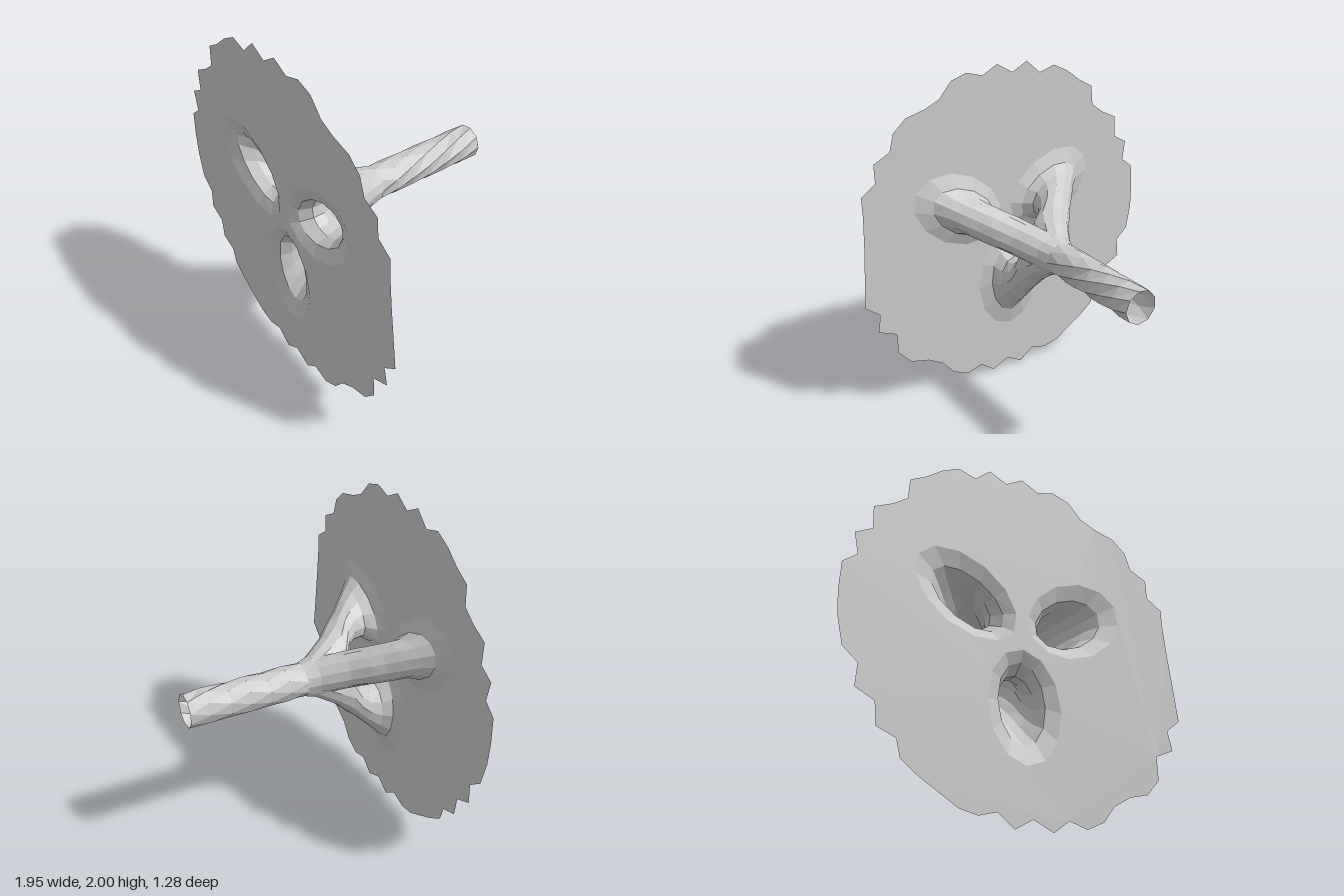
import * as THREE from 'three';

const HUB = new THREE.Vector2(0.015, 1.0);
const FRONT = 0.64;
const SIDES = 12;

// Leg cross-sections: [z, distance from hub, radial half-size, tangential half-size]
const SECTIONS = [
  [0.64, 0.37, 0.31, 0.21], [0.61, 0.345, 0.225, 0.135], [0.55, 0.335, 0.165, 0.11],
  [0.48, 0.295, 0.13, 0.108], [0.42, 0.24, 0.12, 0.107], [0.36, 0.155, 0.155, 0.107],
  [0.27, 0.1, 0.12, 0.105], [0.2, 0.06, 0.11, 0.104], [0.13, 0.02, 0.103, 0.1], [0.06, 0, 0.098, 0.098],
];

// Jagged rim of the sheet, x and y pairs, clockwise from the top
const RIM = [
  0.04, 2, 0.14, 1.95, 0.24, 1.98, 0.34, 1.95, 0.42, 1.86, 0.51, 1.82, 0.63, 1.79, 0.71, 1.72,
  0.74, 1.62, 0.84, 1.57, 0.84, 1.46, 0.93, 1.4, 0.93, 1.29, 0.94, 1.13, 0.955, 0.96, 0.975, 0.73,
  0.89, 0.66, 0.91, 0.55, 0.8, 0.5, 0.8, 0.37, 0.72, 0.28, 0.61, 0.25, 0.51, 0.19, 0.44, 0.1,
  0.34, 0.05, 0.24, 0.08, 0.15, 0.01, 0.04, 0.06, -0.06, 0, -0.15, 0.07, -0.25, 0.04, -0.35, 0.06,
  -0.45, 0.12, -0.55, 0.18, -0.64, 0.25, -0.66, 0.34, -0.76, 0.38, -0.77, 0.5, -0.87, 0.55, -0.86, 0.67,
  -0.94, 0.74, -0.97, 0.89, -0.975, 1.02, -0.965, 1.18, -0.89, 1.24, -0.91, 1.36, -0.82, 1.41, -0.82, 1.54,
  -0.72, 1.59, -0.64, 1.65, -0.63, 1.77, -0.54, 1.82, -0.45, 1.89, -0.35, 1.94, -0.25, 1.91, -0.16, 1.99,
  -0.06, 1.94,
];

// Point of a leg section, kept inside the leg's own third around the hub
function legPoint([z, d, a, b], i, turn) {
  const ang = (i / SIDES) * Math.PI * 2;
  const t = b * Math.sin(ang);
  const limit = Math.abs(t) / Math.sqrt(3);
  const raw = d + a * Math.cos(ang);
  const r = Math.max(raw, limit);
  const c = Math.cos(turn), s = Math.sin(turn);
  return { p: [HUB.x + r * c - t * s, HUB.y + r * s + t * c, z], clamped: raw <= limit + 1e-6 };
}

// Skin rings of points; faces lying wholly on the shared boundary are left open
function skin(rings) {
  const pos = [];
  const face = (...v) => {
    if (!v.every((q) => q.clamped)) v.forEach((q) => pos.push(...q.p));
  };
  for (let k = 0; k < rings.length - 1; k++) {
    const n = rings[k].length;
    for (let i = 0; i < n; i++) {
      const j = (i + 1) % n;
      const a = rings[k][i], b = rings[k][j], c = rings[k + 1][j], d = rings[k + 1][i];
      if (i < n / 2) { face(a, d, b); face(b, d, c); }
      else { face(a, d, c); face(a, c, b); }
    }
  }
  const g = new THREE.BufferGeometry();
  g.setAttribute('position', new THREE.Float32BufferAttribute(pos, 3));
  g.computeVertexNormals();
  return g;
}

export function createModel() {
  const group = new THREE.Group();
  const grey = new THREE.MeshStandardMaterial({ color: 0xcccccc, flatShading: true, side: THREE.DoubleSide });
  grey.name = 'grey';
  const add = (geometry, name) => {
    const mesh = new THREE.Mesh(geometry, grey);
    mesh.name = name;
    group.add(mesh);
  };

  const outline = [];
  for (let i = 0; i < RIM.length; i += 2) outline.push(new THREE.Vector2(RIM[i], RIM[i + 1]));
  const sheet = new THREE.Shape(outline);

  // Three hollow legs, each opening through the sheet
  const turns = { leftLeg: Math.PI / 6, rightLeg: (Math.PI * 5) / 6, lowerLeg: (Math.PI * 3) / 2 };
  for (const [name, turn] of Object.entries(turns)) {
    const rings = SECTIONS.map((sec) => Array.from({ length: SIDES }, (_, i) => legPoint(sec, i, turn)));
    add(skin(rings), name);
    sheet.holes.push(new THREE.Path(rings[0].map(({ p }) => new THREE.Vector2(p[0], p[1]))));
  }

  // Flat sheet with the jagged rim
  add(new THREE.ShapeGeometry(sheet).translate(0, 0, FRONT), 'sheet');

  // Open trunk with gently twisting facets
  const trunk = [];
  for (let k = 0; k <= 6; k++) {
    trunk.push(Array.from({ length: 9 }, (_, i) => {
      const ang = ((i + k * 0.5) / 9) * Math.PI * 2;
      const r = 0.098 + (k % 2) * 0.003;
      return { p: [HUB.x + r * Math.cos(ang), HUB.y + r * Math.sin(ang), 0.07 - (k / 6) * 0.71] };
    }));
  }
  add(skin(trunk), 'trunk');

  return group;
}
